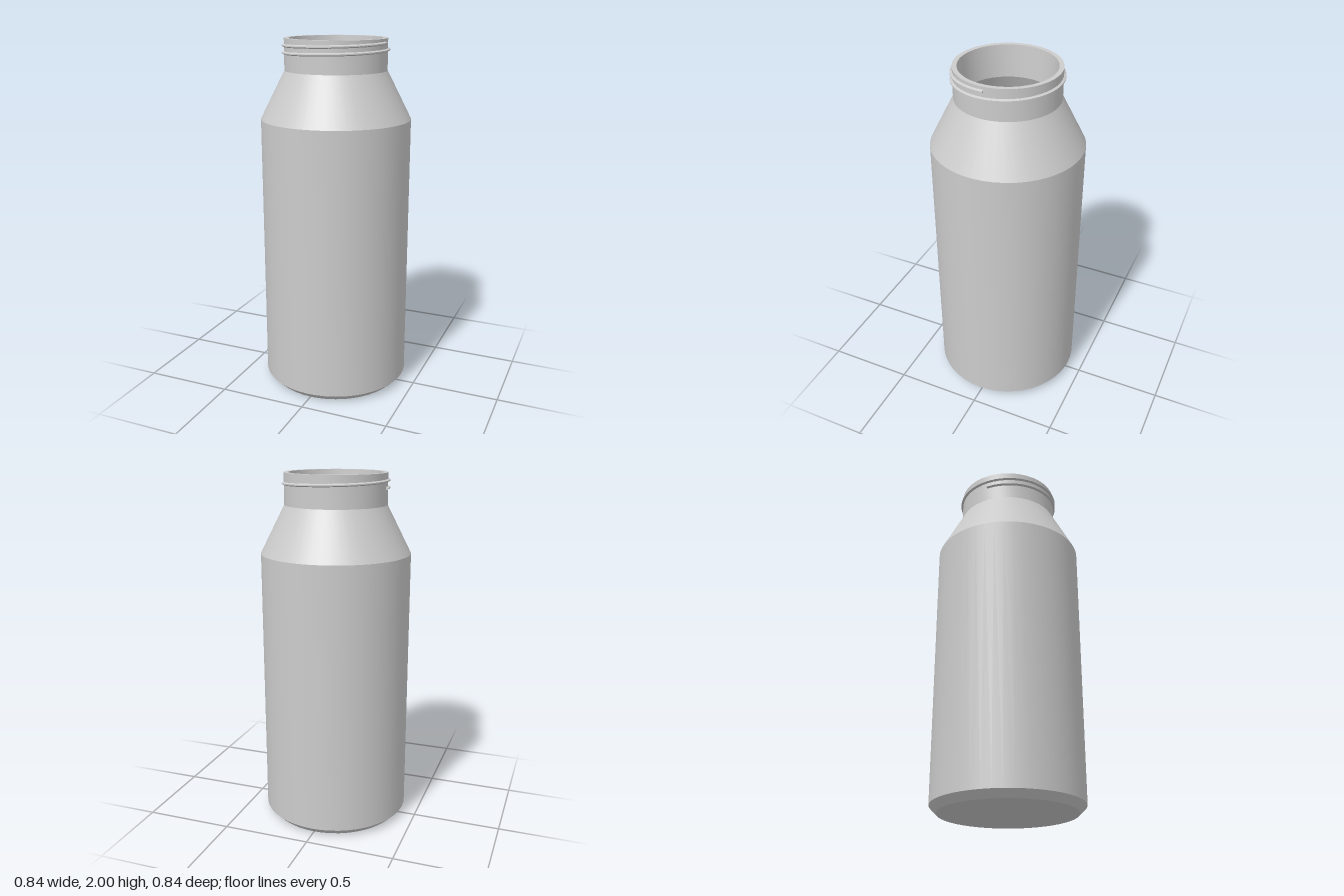
import * as THREE from 'three';
import { toCreasedNormals } from 'three/addons/utils/BufferGeometryUtils.js';

const grey = new THREE.MeshStandardMaterial({ color: 0xcccccc });

function addMesh(group, name, geometry) {
  const mesh = new THREE.Mesh(toCreasedNormals(geometry, 0.4), grey);
  mesh.name = name;
  group.add(mesh);
}

// Helical ridge: a small trapezoid swept around the neck, closed at both ends
function threadGeometry(turns, yStart, yEnd, steps) {
  const section = [[0.28, -0.011], [0.297, -0.003], [0.297, 0.003], [0.28, 0.011]];
  const n = section.length;
  const positions = [];
  const index = [];
  for (let i = 0; i <= steps; i++) {
    const t = (i / steps) * turns * Math.PI * 2;
    const y = THREE.MathUtils.lerp(yStart, yEnd, i / steps);
    for (const [r, dy] of section) positions.push(-r * Math.cos(t), y + dy, r * Math.sin(t));
  }
  for (let i = 0; i < steps; i++) {
    for (let j = 0; j < n; j++) {
      const a = i * n + j;
      const b = i * n + ((j + 1) % n);
      index.push(a, a + n, b, b, a + n, b + n);
    }
  }
  const e = steps * n;
  index.push(0, 1, 2, 0, 2, 3, e, e + 2, e + 1, e, e + 3, e + 2);
  const geometry = new THREE.BufferGeometry();
  geometry.setAttribute('position', new THREE.Float32BufferAttribute(positions, 3));
  geometry.setIndex(index);
  return geometry;
}

export function createModel() {
  const group = new THREE.Group();
  group.name = 'bottle';

  // Hollow body: up the outside, over the rim and down the inside
  const profile = [
    [0, 0], [0.38, 0], [0.42, 0.04], [0.42, 1.56], [0.285, 1.825], [0.285, 2],
    [0.26, 2], [0.25, 1.82], [0.39, 1.545], [0.39, 0.05], [0.365, 0.03], [0, 0.03],
  ].map(([r, y]) => new THREE.Vector2(r, y));
  addMesh(group, 'bottleBody', new THREE.LatheGeometry(profile, 48));

  // Screw thread: one and a half turns around the neck
  addMesh(group, 'neckThread', threadGeometry(1.5, 1.917, 1.976, 96));

  return group;
}
